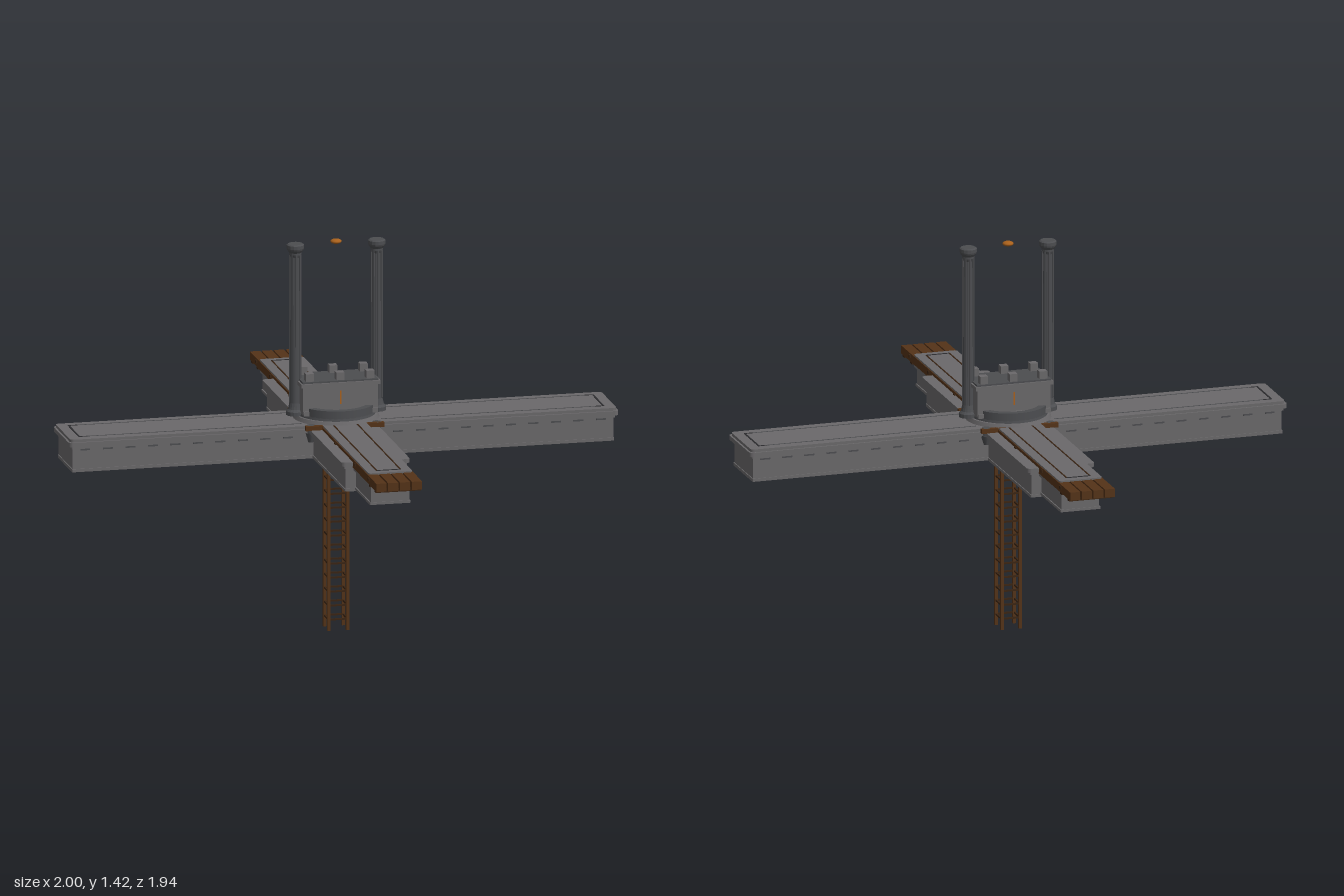
import * as THREE from 'three';

const mat = (name, color, side = THREE.FrontSide) => {
  const m = new THREE.MeshStandardMaterial({ color, side });
  m.name = name;
  return m;
};

export function createModel() {
  const root = new THREE.Group();
  const stone = mat('stone', 0x6a686a);
  const darkStone = mat('darkStone', 0x4c4d50);
  const groove = mat('groove', 0x2c2c2f);
  const wood = mat('wood', 0x543318);
  const darkWood = mat('darkWood', 0x3a2413);
  const amber = mat('amber', 0xa8601c);

  const add = (name, geo, material, x = 0, y = 0, z = 0, parent = root) => {
    const m = new THREE.Mesh(geo, material);
    m.name = name;
    m.position.set(x, y, z);
    parent.add(m);
    return m;
  };
  const box = (name, material, w, h, d, x, y, z, parent) =>
    add(name, new THREE.BoxGeometry(w, h, d), material, x, y, z, parent);

  // Flat slab with rounded corners, from y0 to y1
  const slab = (name, material, hx, hz, y0, y1, r, z = 0) => {
    const s = new THREE.Shape();
    s.moveTo(-hx + r, -hz);
    s.lineTo(hx - r, -hz);
    s.absarc(hx - r, -hz + r, r, -Math.PI / 2, 0);
    s.absarc(hx - r, hz - r, r, 0, Math.PI / 2);
    s.absarc(-hx + r, hz - r, r, Math.PI / 2, Math.PI);
    s.absarc(-hx + r, -hz + r, r, Math.PI, Math.PI * 1.5);
    const g = new THREE.ExtrudeGeometry(s, { depth: y1 - y0, bevelEnabled: false, curveSegments: 4 });
    g.rotateX(-Math.PI / 2);
    return add(name, g, material, 0, y0, z);
  };

  // Long cross arm with stepped cornice
  box('crossArmBody', stone, 1.966, 0.085, 0.216, 0, 0.6975, 0);
  slab('crossArmFoot', stone, 0.986, 0.111, 0.653, 0.664, 0.004);
  slab('crossArmFillet', stone, 0.989, 0.115, 0.738, 0.75, 0.006);
  slab('crossArmCornice', stone, 1, 0.125, 0.748, 0.764, 0.016);
  slab('crossArmDeck', stone, 0.993, 0.118, 0.764, 0.774, 0.014);
  for (const s of [-1, 1]) {
    box('crossArmInlayEnd', groove, 0.006, 0.003, 0.166, s * 0.953, 0.774, 0);
    for (const t of [-1, 1]) {
      box('crossArmInlayCorner', groove, 0.03, 0.003, 0.005, s * 0.938, 0.774, t * 0.081);
      box('crossArmInlaySide', darkStone, 0.78, 0.003, 0.003, s * 0.535, 0.774, t * 0.081);
      // Small blocks under the cornice
      for (let i = 0; i < 10; i++)
        box('corniceBlock', darkStone, 0.035, 0.007, 0.006, s * (0.2 + i * 0.082), 0.735, t * 0.11);
    }
  }

  // Runway arm: wide inner section and narrow outer section
  box('runwayWideBody', stone, 0.216, 0.084, 1.2, 0, 0.697, 0);
  slab('runwayWideFoot', stone, 0.111, 0.603, 0.6535, 0.6635, 0.004);
  slab('runwayWideFillet', stone, 0.115, 0.606, 0.737, 0.749, 0.006);
  slab('runwayWideCornice', stone, 0.125, 0.612, 0.747, 0.762, 0.016);
  box('runwayNarrowBody', stone, 0.14, 0.08, 1.66, 0, 0.701, 0);
  slab('runwayNarrowFoot', stone, 0.074, 0.833, 0.66, 0.669, 0.003);
  slab('runwayNarrowCornice', stone, 0.079, 0.837, 0.73, 0.742, 0.005);

  for (const s of [-1, 1]) {
    // Timber boards protruding past the stone
    for (let i = 0; i < 4; i++)
      box('deckBoard', wood, 0.037, 0.03, 0.85, -0.0645 + i * 0.043, 0.757, s * 0.545);
    box('boardCrossbeam', darkWood, 0.164, 0.012, 0.02, 0, 0.741, s * 0.945);
    box('boardCrossbeam', darkWood, 0.164, 0.012, 0.02, 0, 0.741, s * 0.86);
    slab('runwayDeck', stone, 0.08, 0.359, 0.77, 0.777, 0.01, s * 0.478);
    box('runwayInlayEnd', groove, 0.088, 0.003, 0.006, 0, 0.777, s * 0.806);
    for (const t of [-1, 1]) {
      box('runwayInlaySide', darkWood, 0.005, 0.003, 0.66, t * 0.043, 0.777, s * 0.477);
      for (const z of [0.35, 0.65, 0.865])
        box('boardBolt', darkWood, 0.006, 0.01, 0.014, t * 0.085, 0.762, s * z);
      // Corbel in each inner corner
      add('cornerCorbel', new THREE.CylinderGeometry(0.02, 0.009, 0.035, 8), darkStone, t * 0.12, 0.733, s * 0.12);
      add('cornerPost', new THREE.CylinderGeometry(0.016, 0.016, 0.028, 8), darkStone, t * 0.12, 0.763, s * 0.12);
    }
    box('thresholdBeam', wood, 0.285, 0.016, 0.018, 0, 0.769, s * 0.133);
  }

  // Round platform with curved kerbs at front and back
  add('platformBase', new THREE.CylinderGeometry(0.148, 0.156, 0.02, 40), stone, 0, 0.778, 0);
  add('platformStep', new THREE.CylinderGeometry(0.138, 0.14, 0.01, 40), darkStone, 0, 0.793, 0);
  for (const s of [0, 1]) {
    const a = Math.PI * (0.18 + s), b = Math.PI * (0.82 + s);
    const arc = new THREE.Shape();
    arc.absarc(0, 0, 0.138, a, b, false);
    arc.absarc(0, 0, 0.113, b, a, true);
    const g = new THREE.ExtrudeGeometry(arc, { depth: 0.03, bevelEnabled: false, curveSegments: 20 });
    g.rotateX(-Math.PI / 2);
    add('curvedKerb', g, darkStone, 0, 0.795, 0);
  }

  // Central pedestal with six blocks on top
  box('pedestalPlinth', stone, 0.27, 0.016, 0.154, 0, 0.806, 0);
  box('pedestalBody', stone, 0.272, 0.1, 0.14, 0, 0.855, 0);
  box('pedestalRim', stone, 0.288, 0.014, 0.156, 0, 0.908, 0);
  box('pedestalCap', darkStone, 0.276, 0.006, 0.144, 0, 0.918, 0);
  for (const x of [-0.11, 0, 0.11])
    for (const z of [-0.052, 0.052])
      box('topBlock', stone, 0.029, 0.03, 0.029, x, 0.934, z);
  for (const s of [-1, 1])
    box('pedestalMark', amber, 0.005, 0.048, 0.004, 0, 0.86, s * 0.071);

  // Twin columns
  const profile = [[0, 0], [0.033, 0], [0.033, 0.014], [0.026, 0.022], [0.024, 0.03], [0.021, 0.045],
    [0.02, 0.3], [0.018, 0.575], [0.022, 0.585], [0.022, 0.592], [0.029, 0.602], [0.031, 0.608],
    [0.031, 0.62], [0.026, 0.624], [0, 0.624]].map(p => new THREE.Vector2(...p));
  for (const s of [-1, 1]) {
    const column = new THREE.Group();
    column.name = 'column';
    column.position.set(s * 0.148, 0.788, 0);
    root.add(column);
    const g = new THREE.LatheGeometry(profile, 16).toNonIndexed();
    g.computeVertexNormals();
    add('columnShaft', g, darkStone, 0, 0, 0, column);
    for (let i = 0; i < 8; i++) {
      const a = (i / 8) * Math.PI * 2;
      const rib = box('columnRib', darkStone, 0.006, 0.54, 0.006, Math.cos(a) * 0.019, 0.315, Math.sin(a) * 0.019, column);
      rib.rotation.y = -a;
    }
  }

  // Floating amber disc
  const disc = add('floatingDisc', new THREE.SphereGeometry(0.02, 16, 10), amber, 0, 1.412, 0);
  disc.scale.y = 0.45;

  // Collar under the hub
  add('collarTop', new THREE.CylinderGeometry(0.05, 0.05, 0.014, 16), darkStone, 0, 0.648, 0);
  add('collarCone', new THREE.CylinderGeometry(0.047, 0.034, 0.036, 16), darkStone, 0, 0.623, 0);

  // Timber lattice tower
  for (const x of [-0.034, 0.034])
    for (const z of [-0.034, 0.034])
      box('towerLeg', wood, 0.011, 0.63, 0.011, x, 0.315, z);
  for (let i = 0; i < 12; i++) {
    const y = 0.04 + i * 0.051;
    for (const s of [-1, 1]) {
      box('towerRung', darkWood, 0.062, 0.006, 0.006, 0, y, s * 0.034);
      box('towerRung', darkWood, 0.006, 0.006, 0.062, s * 0.034, y, 0);
    }
  }
  return root;
}
